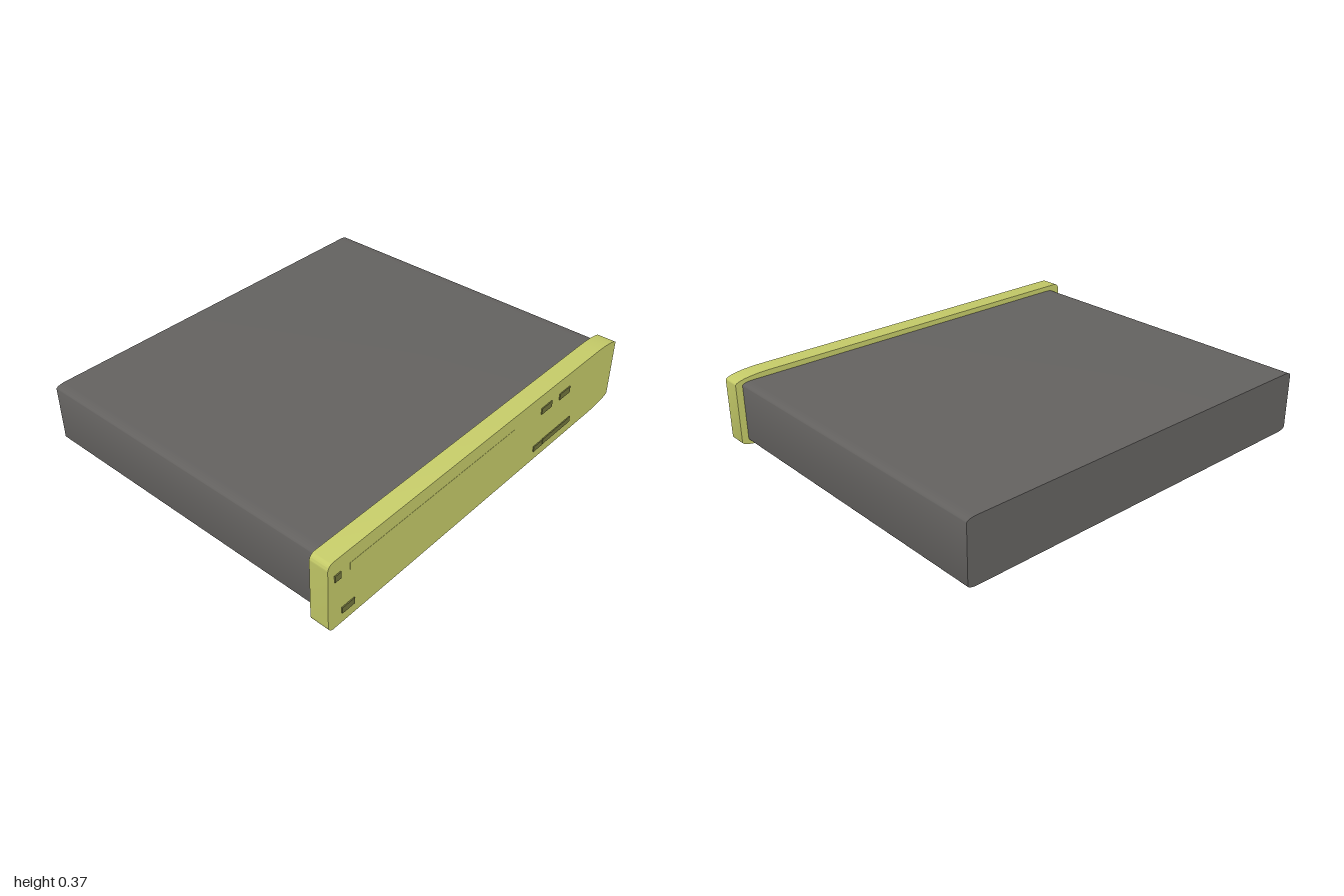
import * as THREE from 'three';
import { toCreasedNormals } from 'three/addons/utils/BufferGeometryUtils.js';

const flat = (name, color) => {
  const m = new THREE.MeshStandardMaterial({ color });
  m.name = name;
  return m;
};

// Slab running along x from x0 to x1; each end in z has its own elliptical corners [width, height]
function slab(x0, x1, y0, y1, zBack, zFront, back, front) {
  const s = new THREE.Shape();
  const l = -zFront, r = -zBack, [fw, fh] = front, [bw, bh] = back;
  const H = Math.PI / 2;
  s.moveTo(l + fw, y0);
  s.lineTo(r - bw, y0);
  s.absellipse(r - bw, y0 + bh, bw, bh, -H, 0);
  s.absellipse(r - bw, y1 - bh, bw, bh, 0, H);
  s.absellipse(l + fw, y1 - fh, fw, fh, H, 2 * H);
  s.absellipse(l + fw, y0 + fh, fw, fh, 2 * H, 3 * H);
  const g = new THREE.ExtrudeGeometry(s, { depth: x1 - x0, bevelEnabled: false, curveSegments: 10 });
  g.rotateY(H);
  g.translate(x0, 0, 0);
  return toCreasedNormals(g, 0.6);
}

export function createModel() {
  const model = new THREE.Group();
  const grey = flat('grey casing', 0x646260);
  const lime = flat('lime panel', 0xc6cc69);
  const olive = flat('dark olive buttons', 0x73753e);

  const add = (name, geometry, material) => {
    const mesh = new THREE.Mesh(geometry, material);
    mesh.name = name;
    model.add(mesh);
    return mesh;
  };

  // Casing and facing panel
  add('casing', slab(-0.83, 0.737, 0.055, 0.348, -0.967, 0.958, [0.05, 0.015], [0.05, 0.015]), grey);
  add('facePanel', slab(0.735, 0.825, 0.03, 0.374, -1, 1, [0.18, 0.03], [0.03, 0.03]), lime);

  // Plates on the panel: name, z range, y range, how far they stand out, material
  const plates = [
    ['discTray', -0.17, 0.88, 0.27, 0.305, 0.001, lime],
    ['powerButton', 0.932, 0.966, 0.27, 0.302, 0.005, olive],
    ['cornerButton', 0.856, 0.926, 0.08, 0.11, 0.005, olive],
    ['upperButton', -0.46, -0.38, 0.27, 0.302, 0.005, olive],
    ['upperButton', -0.607, -0.525, 0.27, 0.302, 0.005, olive],
    ['lowerButton', -0.417, -0.35, 0.08, 0.108, 0.005, olive],
    ['lowerButtonBar', -0.648, -0.421, 0.082, 0.11, 0.005, olive],
  ];
  for (const [name, z0, z1, y0, y1, out, material] of plates) {
    const g = new THREE.BoxGeometry(out + 0.004, y1 - y0, z1 - z0);
    g.translate(0.825 + (out - 0.004) / 2, (y0 + y1) / 2, (z0 + z1) / 2);
    add(name, g, material);
  }

  // Four tapered feet
  const profile = [[0, 0], [0.058, 0], [0.064, 0.008], [0.068, 0.028], [0.074, 0.058]]
    .map(([r, y]) => new THREE.Vector2(r, y));
  const footGeometry = new THREE.LatheGeometry(profile, 28);
  for (const x of [-0.575, 0.448]) {
    for (const z of [-0.52, 0.505]) add('foot', footGeometry, grey).position.set(x, 0, z);
  }
  return model;
}
